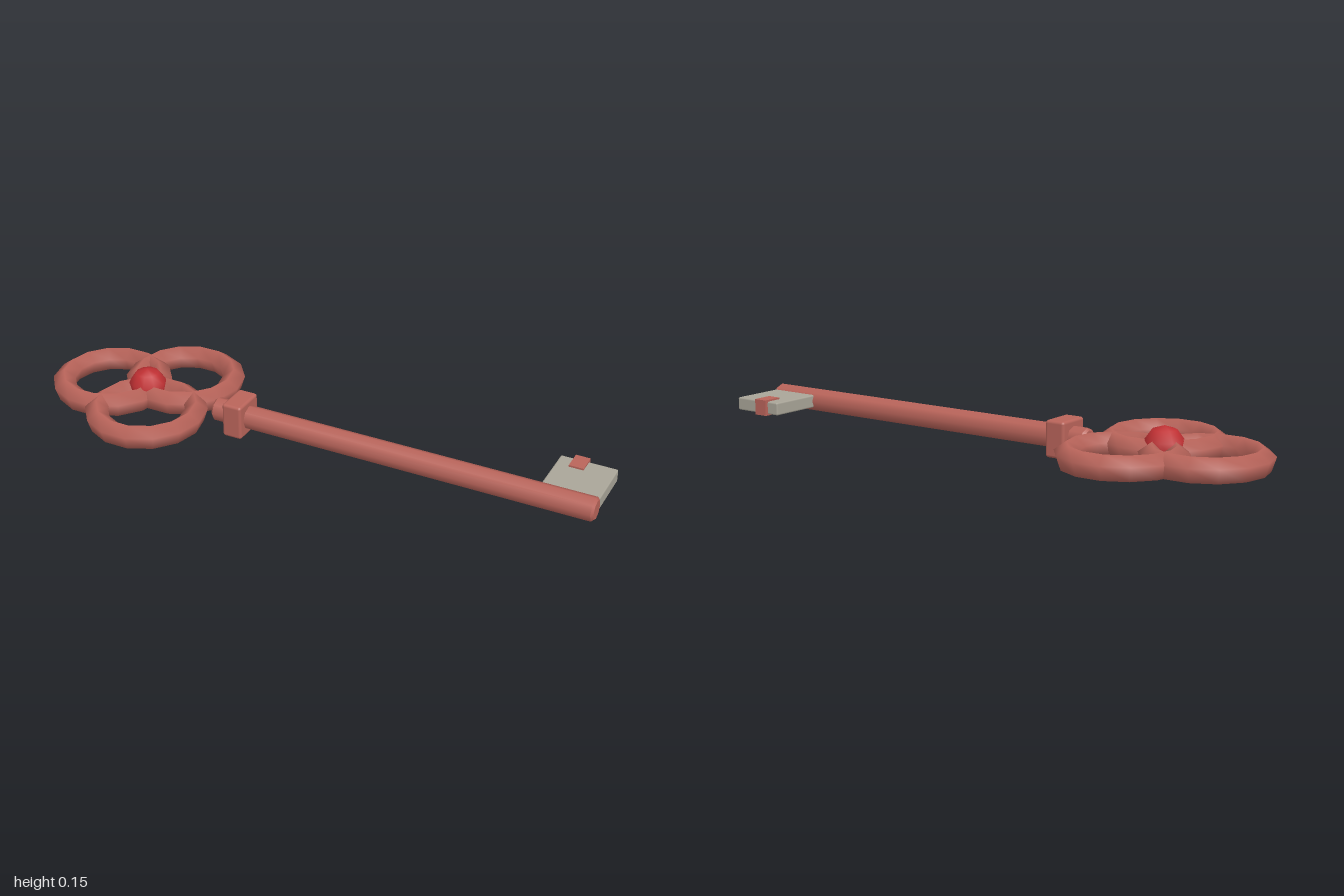
import * as THREE from 'three';
import { mergeVertices } from 'three/addons/utils/BufferGeometryUtils.js';
import { RoundedBoxGeometry } from 'three/addons/geometries/RoundedBoxGeometry.js';

const AXIS_Y = 0.0635; // height of the key's long axis

function material(name, color) {
  const m = new THREE.MeshStandardMaterial({ color });
  m.name = name;
  return m;
}

// Ring with a five-sided section (flat below, ridge on top) and smooth normals
function ringGeometry(major, minor) {
  const profile = [];
  for (let i = 0; i <= 5; i++) {
    const a = THREE.MathUtils.degToRad(18 + 72 * i);
    profile.push(new THREE.Vector2(major + minor * Math.cos(a), minor * Math.sin(a)));
  }
  let g = new THREE.LatheGeometry(profile, 14);
  g.deleteAttribute('uv');
  g.deleteAttribute('normal');
  g = mergeVertices(g, 1e-4);
  g.computeVertexNormals();
  return g.rotateY(Math.PI / 2);
}

export function createModel() {
  const key = new THREE.Group();
  key.name = 'key';
  const copper = material('copper', 0xb9645a);
  const steel = material('grey steel', 0xa9a598);
  const red = material('red gem', 0xc03033);

  const add = (name, geometry, mat, x, y, z) => {
    const mesh = new THREE.Mesh(geometry, mat);
    mesh.name = name;
    mesh.position.set(x, y, z);
    key.add(mesh);
    return mesh;
  };

  // Trefoil bow: three overlapping rings around the gem
  const ring = ringGeometry(0.1715, 0.0415);
  ['backRing', 'leftRing', 'rightRing'].forEach((name, i) => {
    const a = Math.PI + (i * Math.PI * 2) / 3;
    add(name, ring, copper, -0.64 + 0.149 * Math.cos(a), AXIS_Y, -0.149 * Math.sin(a));
  });
  add('gem', new THREE.SphereGeometry(0.068, 10, 5), red, -0.64, 0.08, 0);

  // Eight-sided shank with bevelled ends
  const r = 0.041, bevel = 0.008, x0 = -0.365, x1 = 0.997;
  const shankProfile = [
    [0, x0], [r - bevel, x0], [r - bevel, x0], [r, x0 + bevel], [r, x0 + bevel],
    [r, x1 - bevel], [r, x1 - bevel], [r - bevel, x1], [r - bevel, x1], [0, x1],
  ].map(([px, py]) => new THREE.Vector2(px, py));
  const shank = add('shank', new THREE.LatheGeometry(shankProfile, 8), copper, 0, AXIS_Y, 0);
  shank.rotation.z = -Math.PI / 2;

  // Square collar
  add('collar', new RoundedBoxGeometry(0.072, 0.124, 0.122, 2, 0.01), copper, -0.27, AXIS_Y, 0);

  // Bit plate and its tooth
  add('bit', new RoundedBoxGeometry(0.194, 0.046, 0.21, 1, 0.006), steel, 0.898, AXIS_Y, -0.117);
  add('bitTooth', new THREE.BoxGeometry(0.05, 0.056, 0.071), copper, 0.872, 0.0645, -0.198);

  return key;
}
